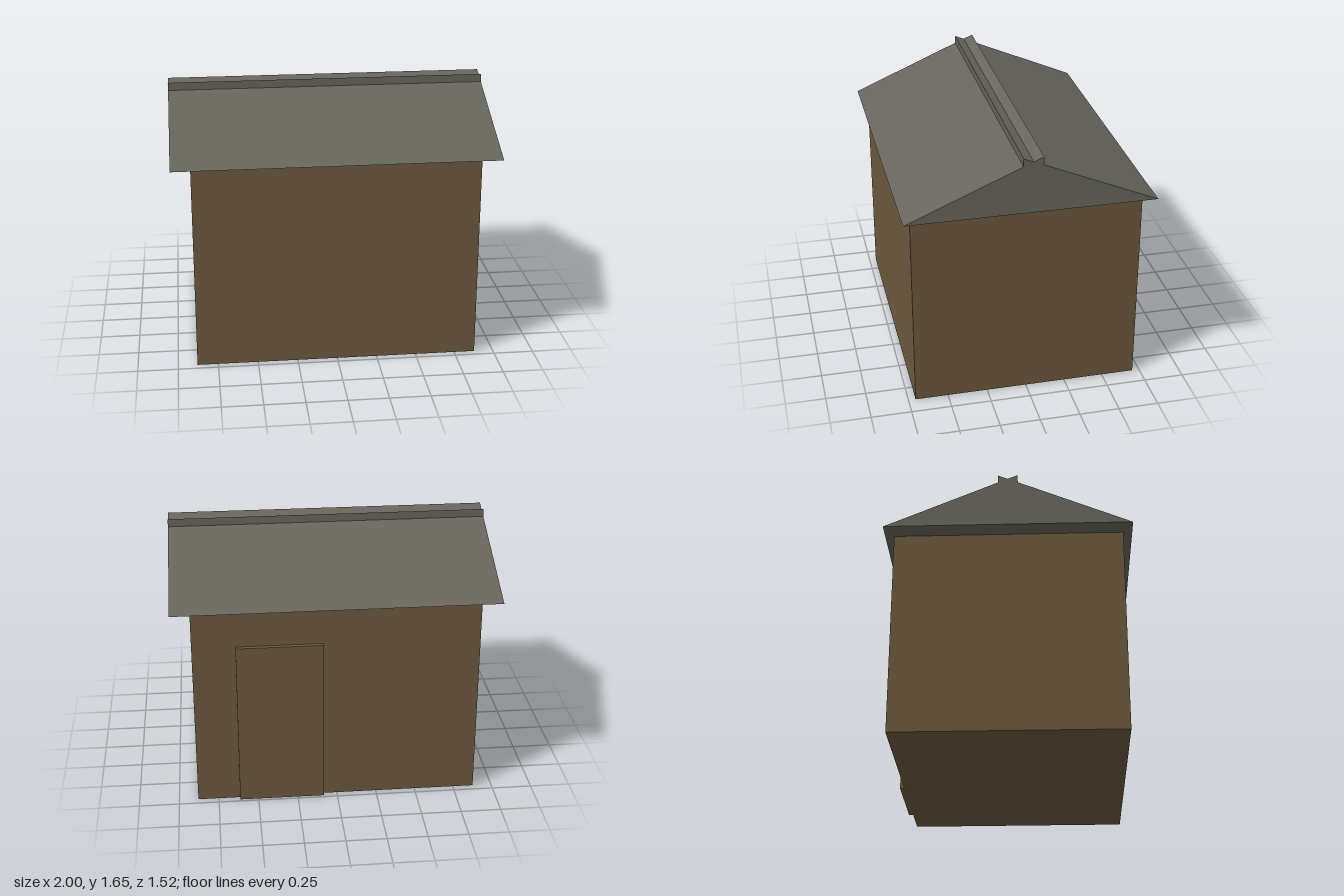
import * as THREE from 'three';

export function createModel() {
  const model = new THREE.Group();
  model.name = 'shed';

  const wood = new THREE.MeshStandardMaterial({ name: 'brown wood', color: 0x6b583e });
  const slate = new THREE.MeshStandardMaterial({ name: 'grey roofing', color: 0x67655c });

  const add = (name, geometry, material, x, y, z) => {
    const mesh = new THREE.Mesh(geometry, material);
    mesh.name = name;
    mesh.position.set(x, y, z);
    model.add(mesh);
    return mesh;
  };

  // Plain box of walls with its floor
  add('walls', new THREE.BoxGeometry(1.76, 1.3, 1.41), wood, 0, 0.65, 0);

  // Slightly raised door on the back wall, off centre
  add('door', new THREE.BoxGeometry(0.532, 1.06, 0.035), wood, 0.35, 0.53, -0.715);

  // Gable roof whose two slopes cross at the ridge, leaving a V groove on top
  const half = [[0.76, 1.3], [0.06, 1.6], [0.06, 1.65]];
  const outline = [
    ...half,
    [0, 1.625],
    ...half.map(([z, y]) => [-z, y]).reverse(),
  ].map(([z, y]) => new THREE.Vector2(z, y));
  const roof = new THREE.ExtrudeGeometry(new THREE.Shape(outline), { depth: 2, bevelEnabled: false });
  roof.translate(0, 0, -1).rotateY(Math.PI / 2);
  add('roof', roof, slate, 0, 0, 0);

  return model;
}
